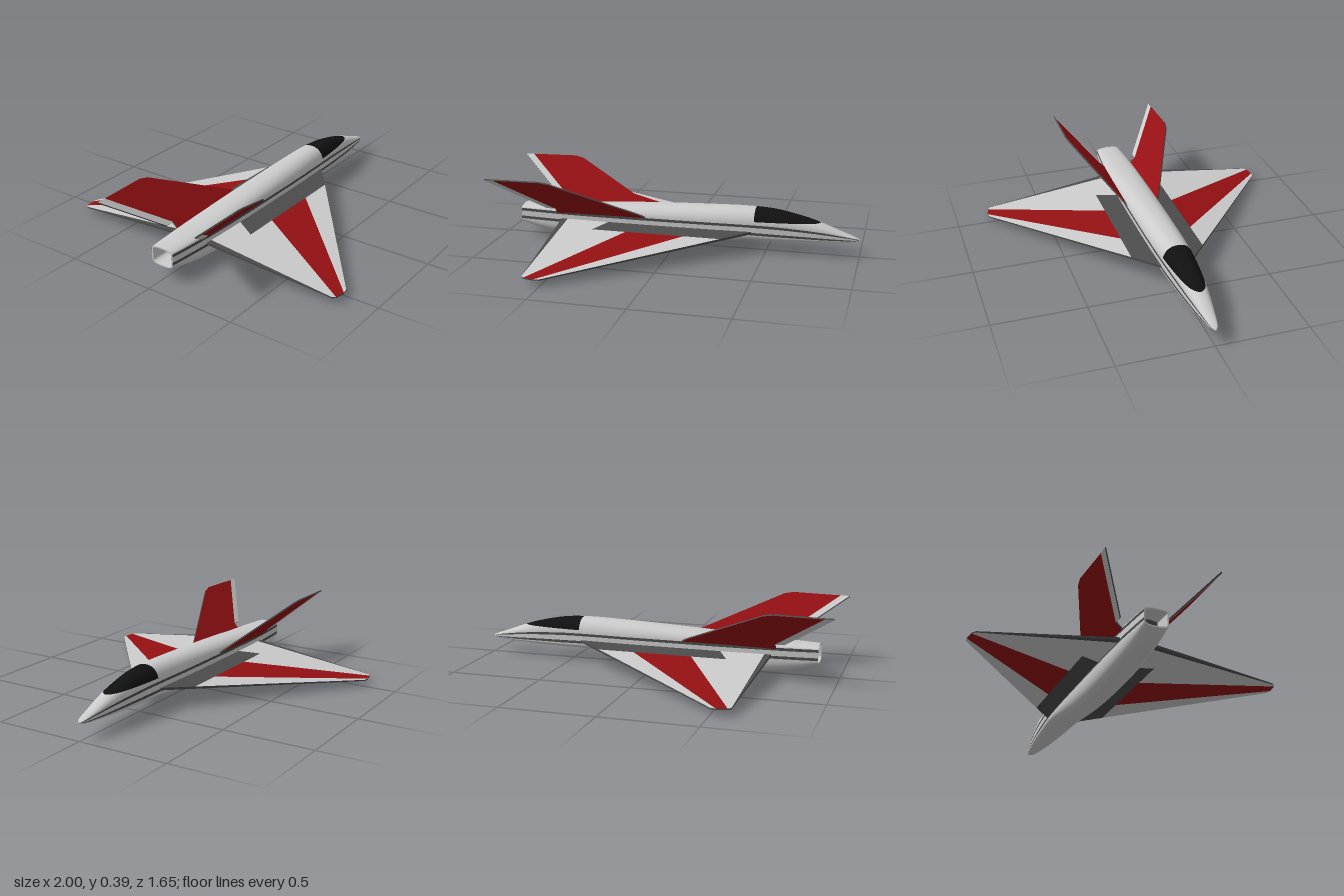
import * as THREE from 'three';

const material = (color) => new THREE.MeshStandardMaterial({ color, side: THREE.DoubleSide });
const light = material(0xcccccc);
const dark = material(0x4c4c4c);
const black = material(0x111111);
const red = material(0x941013);

// Fuselage stations: x, top, bottom, half width, side band top, side band bottom
const STATIONS = [
  [-0.89, 0.176, 0.075, 0.066, 0.16, 0.1],
  [-0.8, 0.181, 0.045, 0.074, 0.16, 0.1],
  [-0.6, 0.19, 0.014, 0.086, 0.16, 0.1],
  [-0.3, 0.212, 0.001, 0.09, 0.16, 0.1],
  [0, 0.228, 0.013, 0.09, 0.16, 0.102],
  [0.2, 0.236, 0.038, 0.088, 0.16, 0.104],
  [0.4, 0.241, 0.066, 0.083, 0.16, 0.104],
  [0.55, 0.233, 0.069, 0.074, 0.156, 0.1],
  [0.7, 0.203, 0.072, 0.061, 0.145, 0.097],
  [0.8, 0.173, 0.075, 0.049, 0.134, 0.094],
  [0.9, 0.136, 0.08, 0.033, 0.118, 0.092],
  [0.98, 0.107, 0.087, 0.017, 0.103, 0.092],
  [1, 0.096, 0.094, 0.002, 0.096, 0.094],
];

// Smooth interpolation of the station table
function station(x) {
  const S = STATIONS;
  let i = 0;
  while (i < S.length - 2 && x > S[i + 1][0]) i++;
  const a = S[i], b = S[i + 1], h = b[0] - a[0], t = (x - a[0]) / h;
  const slope = (k, c) => {
    const p = S[Math.max(k - 1, 0)], q = S[Math.min(k + 1, S.length - 1)];
    return (q[c] - p[c]) / (q[0] - p[0]);
  };
  const at = (c) => a[c] * (1 + 2 * t) * (1 - t) ** 2 + b[c] * t * t * (3 - 2 * t)
    + h * (slope(i, c) * t * (1 - t) ** 2 + slope(i + 1, c) * t * t * (t - 1));
  return { top: at(1), bottom: at(2), w: at(3), hi: at(4), lo: at(5) };
}

// Skin between x0 and x1; section(x, t) gives [y, z] for t from 0 to 1
function loft(section, x0, x1, nx, nt) {
  const pos = [], index = [];
  for (let i = 0; i <= nx; i++) {
    const x = x0 + (x1 - x0) * i / nx;
    for (let j = 0; j <= nt; j++) pos.push(x, ...section(x, j / nt));
  }
  for (let i = 0; i < nx; i++) for (let j = 0; j < nt; j++) {
    const a = i * (nt + 1) + j, b = a + nt + 1;
    index.push(a, b, a + 1, b, b + 1, a + 1);
  }
  const g = new THREE.BufferGeometry();
  g.setAttribute('position', new THREE.Float32BufferAttribute(pos, 3));
  g.setIndex(index);
  g.computeVertexNormals();
  return g;
}

const rounded = (v, p) => Math.sign(v) * Math.abs(v) ** p;
const topPoint = (x, angle) => {
  const s = station(x);
  return [s.hi + (s.top - s.hi) * Math.sin(angle), s.w * rounded(Math.cos(angle), 0.85)];
};
const bellyPoint = (x, t) => {
  const s = station(x), a = Math.PI * (1 + t);
  return [s.lo + (s.lo - s.bottom) * rounded(Math.sin(a), 0.8), s.w * rounded(Math.cos(a), 0.7)];
};
// Angle on the top skin where the canopy sill runs
const sill = (x) => {
  const s = station(x);
  return Math.asin(THREE.MathUtils.clamp((0.178 - s.hi) / (s.top - s.hi), 0, 1));
};

// Flat panel extruded from outline points, then placed by a rule and mirrored for the right side
function panel(name, points, mat, side, place) {
  const g = new THREE.ExtrudeGeometry(
    new THREE.Shape(points.map((p) => new THREE.Vector2(...p))), { depth: 1, bevelEnabled: false });
  const p = g.attributes.position;
  for (let i = 0; i < p.count; i++) {
    const [x, y, z] = place(p.getX(i), p.getY(i), p.getZ(i) - 0.5);
    p.setXYZ(i, x, y, z * side);
  }
  const along = place(0, 1, 0), base = place(0, 0, 0), up = place(0, 0, 1);
  const turn = (along[1] - base[1]) * (up[2] - base[2]) - (along[2] - base[2]) * (up[1] - base[1]);
  if (turn * side < 0) { // restore outward facing corners
    for (let i = 0; i < p.count; i += 3) {
      const b = new THREE.Vector3().fromBufferAttribute(p, i + 1);
      const c = new THREE.Vector3().fromBufferAttribute(p, i + 2);
      p.setXYZ(i + 1, c.x, c.y, c.z);
      p.setXYZ(i + 2, b.x, b.y, b.z);
    }
  }
  g.computeVertexNormals();
  const mesh = new THREE.Mesh(g, [mat, dark]);
  mesh.name = name;
  return mesh;
}

// Wing outlines in x and span
const WING = [
  ['wingRoot', dark, [[-0.36, 0.07], [0.43, 0.07], [0.43, 0.08], [0.279, 0.2], [-0.43, 0.2]]],
  ['wingRear', light, [[-0.61, 0.07], [-0.36, 0.07], [-0.43, 0.2], [-0.24, 0.2], [-0.585, 0.815], [-0.6, 0.8]]],
  ['wingStripe', red, [[-0.24, 0.2], [0.08, 0.2], [-0.53, 0.825], [-0.585, 0.815]]],
  ['wingFront', light, [[0.08, 0.2], [0.279, 0.2], [-0.5, 0.82], [-0.53, 0.825]]],
  ['wingFlap', dark, [[-0.645, 0.07], [-0.61, 0.07], [-0.6, 0.8]]],
];
const placeWing = (x, span, d) =>
  [x, 0.116 - (span - 0.08) * 0.11 + d * (0.014 - span * 0.009), span];

// Tail fin outlines in x and height
const FIN = [
  ['fin', red, [[-0.13, 0.15], [-0.2, 0.185], [-0.64, 0.376], [-0.69, 0.385], [-0.95, 0.381], [-0.67, 0.188], [-0.67, 0.15]]],
  ['finRudder', light, [[-0.95, 0.381], [-1, 0.381], [-0.72, 0.188], [-0.67, 0.188]]],
];
const placeFin = (x, y, d) => [x, y - d * 0.006, y - 0.075 + d * 0.006];

export function createModel() {
  const model = new THREE.Group();
  const add = (name, geometry, mat) => {
    const mesh = new THREE.Mesh(geometry, mat);
    mesh.name = name;
    model.add(mesh);
  };
  const tail = -0.89, front = 0.44, tip = 1;

  // Upper skin, canopy and nose
  add('spine', loft((x, t) => topPoint(x, t * Math.PI), tail, front, 40, 28), light);
  add('canopy', loft((x, t) => {
    const a = sill(x);
    return topPoint(x, a + t * (Math.PI - 2 * a));
  }, front, 0.8, 36, 24), black);
  add('noseLeft', loft((x, t) => topPoint(x, t * sill(x)), front, 0.8, 36, 10), light);
  add('noseRight', loft((x, t) => topPoint(x, Math.PI - (1 - t) * sill(x)), front, 0.8, 36, 10), light);
  add('noseTip', loft((x, t) => topPoint(x, t * Math.PI), 0.8, tip, 24, 24), light);
  add('belly', loft(bellyPoint, tail, tip, 64, 28), light);

  // Side bands, wings and fins on both sides
  const bands = [['lowerBand', 0, 0.25, dark], ['middleBand', 0.25, 0.75, light], ['upperBand', 0.75, 1, dark]];
  for (const side of [1, -1]) {
    const word = side > 0 ? 'Left' : 'Right';
    for (const [name, from, to, mat] of bands) {
      add(name + word, loft((x, t) => {
        const s = station(x), f = from + (to - from) * (side > 0 ? t : 1 - t);
        return [s.lo + (s.hi - s.lo) * f, side * s.w];
      }, tail, tip, 64, 1), mat);
    }
    for (const [name, mat, pts] of WING) model.add(panel(name + word, pts, mat, side, placeWing));
    for (const [name, mat, pts] of FIN) model.add(panel(name + word, pts, mat, side, placeFin));
  }

  // Exhaust opening: rim, inner wall and back plate
  const ring = (t, scale) => {
    const [y, z] = t < 0.5 ? topPoint(tail, t * 2 * Math.PI) : bellyPoint(tail, t * 2 - 1);
    return [0.125 + (y - 0.125) * scale, z * scale];
  };
  const duct = (x0, x1, s0, s1) =>
    loft((x, t) => ring(t % 1, s0 + (s1 - s0) * (x - x0) / (x1 - x0)), x0, x1, 1, 48);
  add('exhaustRim', duct(tail, tail + 0.001, 1, 0.88), light);
  add('exhaustWall', duct(tail, tail + 0.1, 0.88, 0.8), light);
  add('exhaustPlate', duct(tail + 0.1, tail + 0.101, 0.8, 0), dark);
  return model;
}
